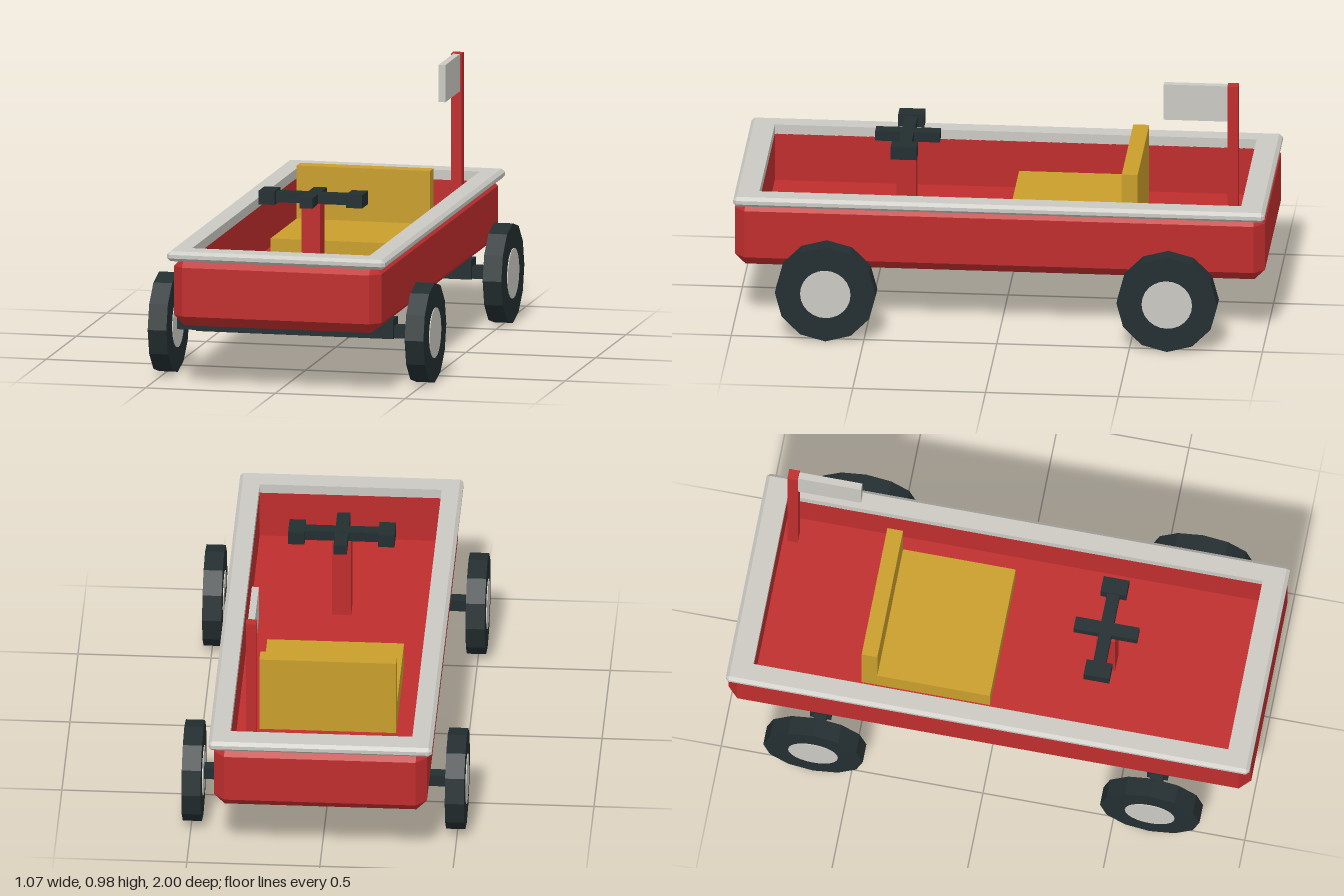
import * as THREE from 'three';

const mat = (name, color) => {
  const m = new THREE.MeshStandardMaterial({ color, flatShading: true });
  m.name = name;
  return m;
};

// Four-sided ring with optionally cut corners: [height, half width, half length, corner cut]
function ringPoints([y, hx, hz, c = 0]) {
  return [
    [hx, hz - c], [hx - c, hz], [c - hx, hz], [-hx, hz - c],
    [-hx, c - hz], [c - hx, -hz], [hx - c, -hz], [hx, c - hz],
  ].map(([x, z]) => new THREE.Vector3(x, y, z));
}

// Skin a list of rings; optionally cap the first (facing down) and last (facing up)
function loft(rings, capped) {
  const pts = rings.map(ringPoints);
  const pos = [];
  const tri = (a, b, c) => {
    if (new THREE.Triangle(a, b, c).getArea() < 1e-7) return;
    for (const p of [a, b, c]) pos.push(p.x, p.y, p.z);
  };
  for (let i = 0; i < pts.length - 1; i++) {
    for (let j = 0; j < 8; j++) {
      const k = (j + 1) % 8;
      const a = pts[i][j], b = pts[i][k], c = pts[i + 1][k], d = pts[i + 1][j];
      tri(a, d, c);
      tri(a, c, b);
    }
  }
  if (capped) {
    const first = pts[0], last = pts[pts.length - 1];
    for (let j = 1; j < 7; j++) {
      tri(first[0], first[j], first[j + 1]);
      tri(last[0], last[j + 1], last[j]);
    }
  }
  const g = new THREE.BufferGeometry();
  g.setAttribute('position', new THREE.Float32BufferAttribute(pos, 3));
  g.computeVertexNormals();
  return g;
}

export function createModel() {
  const model = new THREE.Group();
  model.name = 'pedalCart';
  const red = mat('red paint', 0xbf2d2d);
  const grey = mat('pale grey', 0xcbc9c2);
  const gold = mat('mustard seat', 0xc99e2b);
  const dark = mat('dark rubber', 0x232e30);

  const add = (name, geometry, material, parent = model) => {
    const m = new THREE.Mesh(geometry, material);
    m.name = name;
    parent.add(m);
    return m;
  };
  // Box given by its extents on each axis
  const box = (name, material, [x0, x1], [y0, y1], [z0, z1], parent) => {
    const m = add(name, new THREE.BoxGeometry(x1 - x0, y1 - y0, z1 - z0), material, parent);
    m.position.set((x0 + x1) / 2, (y0 + y1) / 2, (z0 + z1) / 2);
    return m;
  };

  // Open tub with bevelled outside, inner walls and floor
  add('tub', loft([
    [0.237, 0.36, 0.958], [0.277, 0.4, 0.998, 0.04], [0.463, 0.4, 0.998, 0.04],
    [0.486, 0.377, 0.975, 0.017], [0.486, 0.342, 0.907], [0.3, 0.342, 0.907],
  ], true), red);

  // Bevelled rim around the tub
  add('rim', loft([
    [0.485, 0.342, 0.907], [0.485, 0.407, 0.987], [0.497, 0.42, 1, 0.012],
    [0.511, 0.42, 1, 0.012], [0.523, 0.407, 0.987], [0.523, 0.342, 0.907],
    [0.485, 0.342, 0.907],
  ]), grey);

  // Seat
  const seat = new THREE.Group();
  seat.name = 'seat';
  model.add(seat);
  box('seatPan', gold, [-0.257, 0.257], [0.295, 0.4], [-0.45, -0.02], seat);
  box('seatBack', gold, [-0.257, 0.257], [0.295, 0.602], [-0.51, -0.45], seat);

  // Steering post and cross-shaped handle
  const steering = new THREE.Group();
  steering.name = 'steering';
  model.add(steering);
  box('steeringPost', red, [-0.036, 0.036], [0.295, 0.618], [0.344, 0.416], steering);
  box('handleBar', dark, [-0.19, 0.19], [0.617, 0.656], [0.352, 0.4], steering);
  box('handleSpoke', dark, [-0.025, 0.025], [0.616, 0.655], [0.255, 0.498], steering);
  for (const s of [-1, 1]) {
    const grip = box('grip', dark, [-0.031, 0.031], [0.611, 0.662], [0.327, 0.425], steering);
    grip.position.x = s * 0.169;
  }

  // Flag on its pole
  box('flagPole', red, [0.245, 0.285], [0.295, 0.98], [-0.89, -0.85]);
  box('flag', grey, [0.253, 0.279], [0.837, 0.979], [-0.85, -0.61]);

  // Axles and wheels
  const tyreGeo = new THREE.CylinderGeometry(0.19, 0.19, 0.072, 12).rotateZ(Math.PI / 2);
  const hubGeo = new THREE.CylinderGeometry(0.095, 0.095, 0.078, 24).rotateZ(Math.PI / 2);
  for (const z of [0.643, -0.643]) {
    box('axleBeam', dark, [-0.38, 0.38], [0.166, 0.24], [z - 0.04, z + 0.04]);
    box('axle', dark, [-0.46, 0.46], [0.167, 0.213], [z - 0.024, z + 0.024]);
    for (const s of [-1, 1]) {
      const wheel = new THREE.Group();
      wheel.name = 'wheel';
      wheel.position.set(s * 0.495, 0.19, z);
      model.add(wheel);
      add('tyre', tyreGeo, dark, wheel);
      add('hub', hubGeo, grey, wheel);
    }
  }
  return model;
}
